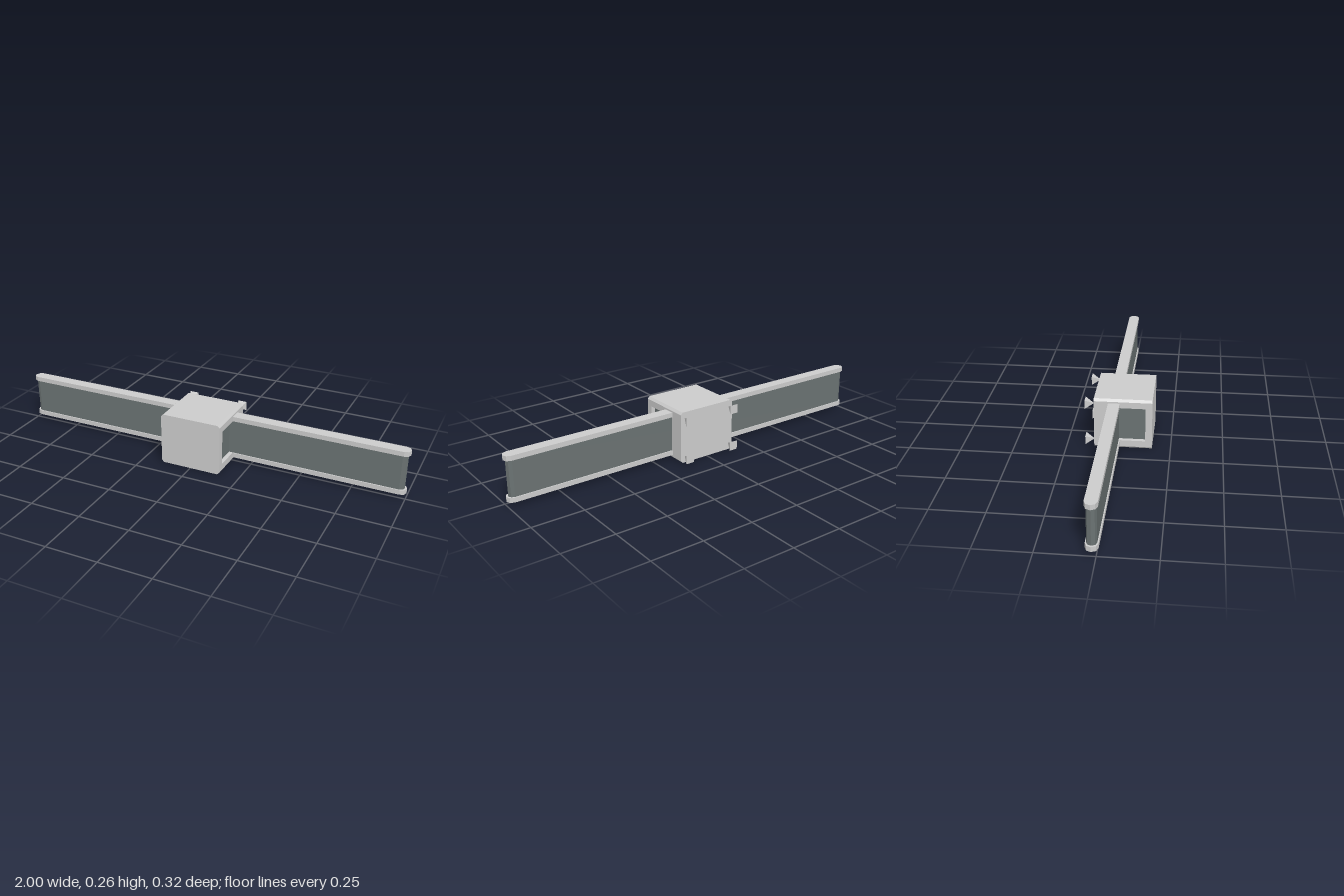
import * as THREE from 'three';

const grey = new THREE.MeshStandardMaterial({ color: 0xcccccc, flatShading: true });
const dark = new THREE.MeshStandardMaterial({ color: 0x6a7272, flatShading: true });

export function createModel() {
  const model = new THREE.Group();
  const add = (name, geometry, material, x = 0, y = 0, z = 0) => {
    const mesh = new THREE.Mesh(geometry, material);
    mesh.name = name;
    mesh.position.set(x, y, z);
    model.add(mesh);
    return mesh;
  };
  const box = (name, material, x0, x1, y0, y1, z0, z1) =>
    add(name, new THREE.BoxGeometry(x1 - x0, y1 - y0, z1 - z0), material,
      (x0 + x1) / 2, (y0 + y1) / 2, (z0 + z1) / 2);

  // Flat bar with faceted round ends, lying along x
  const bar = (name, material, halfLength, radius, y0, y1) => {
    const points = [];
    for (const side of [1, -1]) {
      for (let i = 0; i <= 4; i++) {
        const a = -Math.PI / 2 + (i * Math.PI) / 4;
        points.push(new THREE.Vector2(
          side * (halfLength - radius + radius * Math.cos(a)), side * radius * Math.sin(a)));
      }
    }
    const geometry = new THREE.ExtrudeGeometry(new THREE.Shape(points),
      { depth: y1 - y0, bevelEnabled: false });
    geometry.rotateX(-Math.PI / 2);
    add(name, geometry, material, 0, y0, -0.0205);
  };
  bar('band', dark, 0.99, 0.022, 0.04, 0.218);
  bar('lowerRail', grey, 1, 0.0275, 0.02, 0.043);
  bar('upperRail', grey, 1, 0.0275, 0.215, 0.238);

  // Casing with chamfered long edges and sunken sides
  const w = 0.153, inner = 0.13, c = 0.011, h = 0.257, back = -0.116, front = 0.161;
  const half = [[w - c, 0], [w, c], [w, 0.043], [inner, 0.043],
    [inner, 0.215], [w, 0.215], [w, h - c], [w - c, h]];
  const outline = [...half, ...half.map(([x, y]) => [-x, y]).reverse()];
  const casing = new THREE.ExtrudeGeometry(
    new THREE.Shape(outline.map(([x, y]) => new THREE.Vector2(x, y))),
    { depth: front - back, bevelEnabled: false });
  add('casing', casing, grey, 0, 0, back);

  for (const s of [1, -1]) {
    const x0 = Math.min(s * inner, s * w), x1 = Math.max(s * inner, s * w);
    // Walls before and behind the side opening, and its dark floor
    box('frontSideWall', grey, x0, x1, 0.043, 0.215, 0.129, front);
    box('rearSideWall', grey, x0, x1, 0.043, 0.215, back, -0.04);
    box('sidePanel', dark, s * 0.131 - 0.002, s * 0.131 + 0.002, 0.043, 0.215, -0.04, 0.129);

    // Square pyramid studs with their tips on the rear face
    for (const y of [0.034, 0.225]) {
      const stud = new THREE.ConeGeometry(0.022 * Math.SQRT2, 0.043, 4);
      stud.rotateY(Math.PI / 4);
      stud.rotateX(Math.PI / 2);
      add('rearStud', stud, grey, s * 0.131, y, back - 0.0215);
    }
  }
  return model;
}
